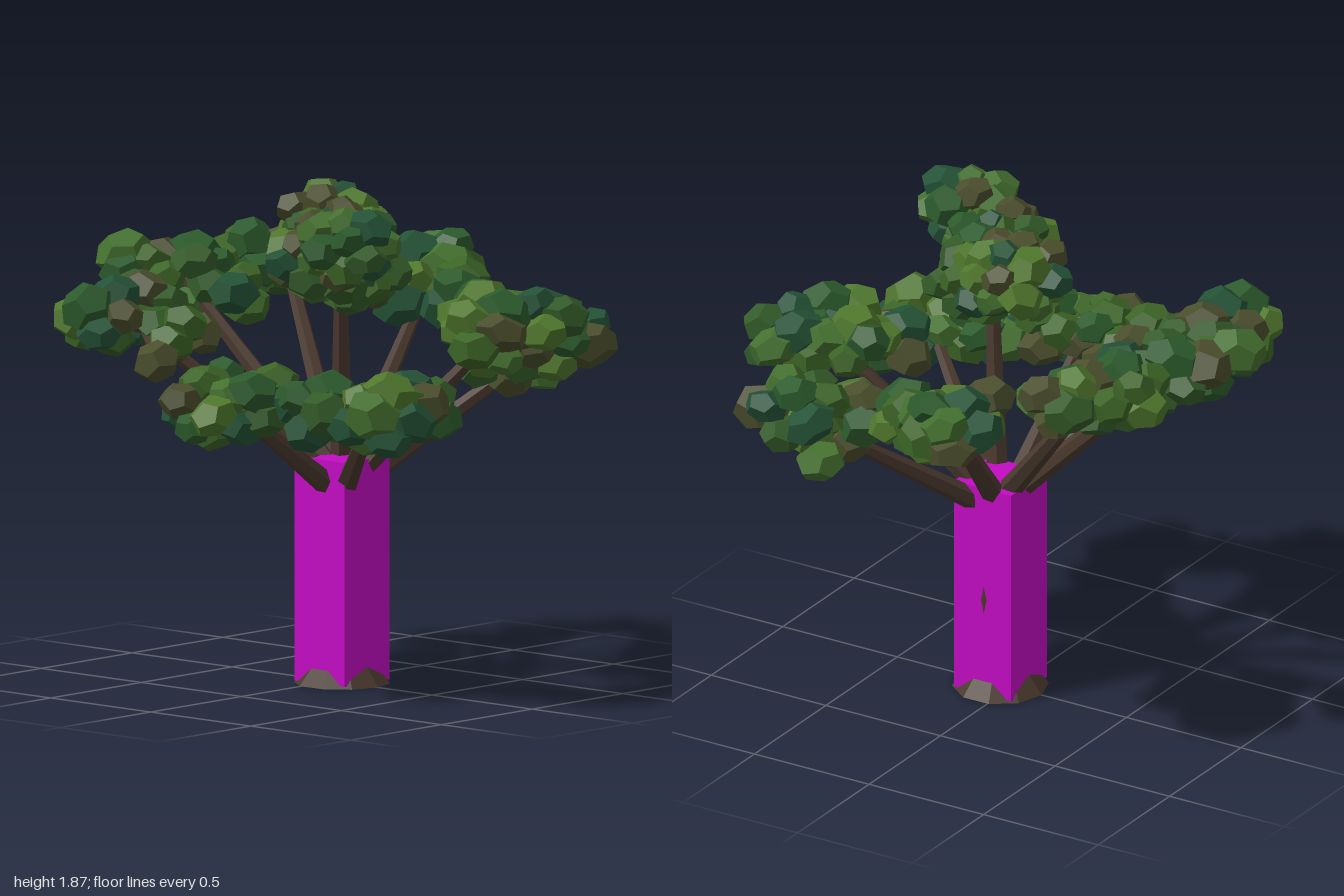
import * as THREE from 'three';

const mat = (color) => new THREE.MeshStandardMaterial({ color, flatShading: true });
const bark = mat(0x4a392e);
const sleeve = mat(0xc40cc4);
const greens = [0x3c6426, 0x335a28, 0x2c5a2c, 0x245236, 0x4a4e2c, 0x4f772c, 0x44702f].map(mat);

// small seeded generator
let seed = 7;
const rnd = () => (seed = (seed * 16807) % 2147483647) / 2147483647;
const range = (a, b) => a + (b - a) * rnd();

const leafGeo = new THREE.DodecahedronGeometry(1, 0);

// one faceted clump of leaves, kept inside the spread of the tree
function clump(x, y, z, size) {
  const m = new THREE.Mesh(leafGeo, greens[Math.floor(rnd() * greens.length)]);
  const r = size * range(0.88, 1.2);
  const limit = 0.99 - r;
  m.name = 'leafClump';
  m.scale.set(r * range(0.9, 1.15), r * range(0.75, 0.9), r * range(0.9, 1.15));
  m.position.set(THREE.MathUtils.clamp(x, -limit, limit), y, THREE.MathUtils.clamp(z, -limit, limit));
  m.rotation.set(range(-0.4, 0.4), range(0, 6.28), range(-0.4, 0.4));
  return m;
}

// clumps spread evenly over a flattened ball; a zero radius gives a single clump
function puff([x, y, z, radius], size) {
  const g = new THREE.Group();
  g.name = 'leafPuff';
  const n = 1 + Math.round(4.5 * (radius / size) ** 2);
  for (let i = 0; i < n; i++) {
    const h = 1 - (2 * (i + 0.5)) / n;
    const a = i * 2.39996 + x * 9;
    const d = radius * range(0.8, 1.05);
    const c = d * Math.sqrt(1 - h * h);
    g.add(clump(x + c * Math.cos(a), y + 0.75 * h * d, z + c * Math.sin(a), size));
  }
  return g;
}

// tapered limb between two points
function limb(a, b, r0, r1) {
  const dir = b.clone().sub(a);
  const m = new THREE.Mesh(new THREE.CylinderGeometry(r1, r0, dir.length(), 6), bark);
  m.name = 'branch';
  m.position.copy(a).add(b).multiplyScalar(0.5);
  m.quaternion.setFromUnitVectors(new THREE.Vector3(0, 1, 0), dir.normalize());
  return m;
}

// limb from the trunk to the middle of its leaf puffs, with a twig to each puff
function bough(name, puffs, size) {
  const g = new THREE.Group();
  g.name = name;
  const centres = puffs.map(([x, y, z]) => new THREE.Vector3(x, y, z));
  const tip = new THREE.Vector3();
  centres.forEach((c) => tip.addScaledVector(c, 1 / centres.length));
  const base = new THREE.Vector3(tip.x, 0, tip.z - 0.05).setLength(0.08);
  base.y = 0.74 + 0.25 * (tip.y - 1.12);
  base.z += 0.05;
  g.add(limb(base, tip, 0.044, 0.022));
  puffs.forEach((p, i) => g.add(limb(tip, centres[i], 0.02, 0.01), puff(p, size)));
  return g;
}

// leaf puffs of each bough: x, y, z, radius
const boughs = {
  crownBough: [[-0.36, 1.73, 0.42, 0.13], [-0.28, 1.65, 0.22, 0.17], [-0.08, 1.65, 0.12, 0.17],
    [0.05, 1.71, -0.05, 0.15], [-0.12, 1.56, 0.22, 0.13]],
  leftBough: [[-0.82, 1.12, 0.12, 0.12], [-0.65, 1.15, 0.24, 0.11], [-0.66, 1.16, 0, 0.1]],
  frontLeftBough: [[-0.56, 1.13, 0.45, 0.11], [-0.5, 1.12, 0.7, 0.13], [-0.26, 1.14, 0.69, 0.09]],
  frontRightBough: [[0.12, 1.36, 0.68, 0.12], [0.33, 1.38, 0.76, 0.12], [0.3, 1.4, 0.5, 0.1]],
  rightFrontBough: [[0.48, 1.2, 0.4, 0.11], [0.66, 1.27, 0.52, 0.14], [0.73, 1.12, 0.38, 0]],
  rightBough: [[0.52, 1.4, -0.18, 0.09], [0.82, 1.44, -0.22, 0.12], [0.67, 1.36, 0.01, 0.1]],
  backRightBough: [[0.3, 1.48, -0.66, 0.12], [0.5, 1.5, -0.53, 0.11]],
  backBough: [[-0.17, 1.5, -0.84, 0.06], [-0.03, 1.45, -0.7, 0.13], [0, 1.4, -0.49, 0.08]],
  backLeftBough: [[-0.63, 1.37, -0.59, 0.12], [-0.39, 1.4, -0.58, 0.1], [-0.48, 1.32, -0.33, 0.09],
    [-0.68, 1.25, -0.26, 0]],
};

export function createModel() {
  seed = 7;
  const tree = new THREE.Group();
  tree.name = 'tree';

  // flared trunk inside the square sleeve
  const profile = [[0, 0], [0.18, 0], [0.118, 0.08], [0.1, 0.8], [0, 0.83]];
  const trunk = new THREE.Mesh(
    new THREE.LatheGeometry(profile.map(([x, y]) => new THREE.Vector2(x, y)), 10), bark);
  trunk.name = 'trunk';
  trunk.position.z = 0.05;
  tree.add(trunk);

  const box = new THREE.Mesh(new THREE.BoxGeometry(0.25, 0.84, 0.25), sleeve);
  box.name = 'trunkSleeve';
  box.position.set(0, 0.43, 0.05);
  tree.add(box);

  // sliver of bark showing through the side
  const sliver = new THREE.Mesh(new THREE.OctahedronGeometry(1, 0), bark);
  sliver.name = 'barkSliver';
  sliver.scale.set(0.004, 0.075, 0.016);
  sliver.position.set(0.124, 0.395, 0.045);
  tree.add(sliver);

  // boughs with their foliage, finer leaves in the crown
  for (const [name, puffs] of Object.entries(boughs)) {
    tree.add(bough(name, puffs, name === 'crownBough' ? 0.078 : 0.092));
  }
  return tree;
}
